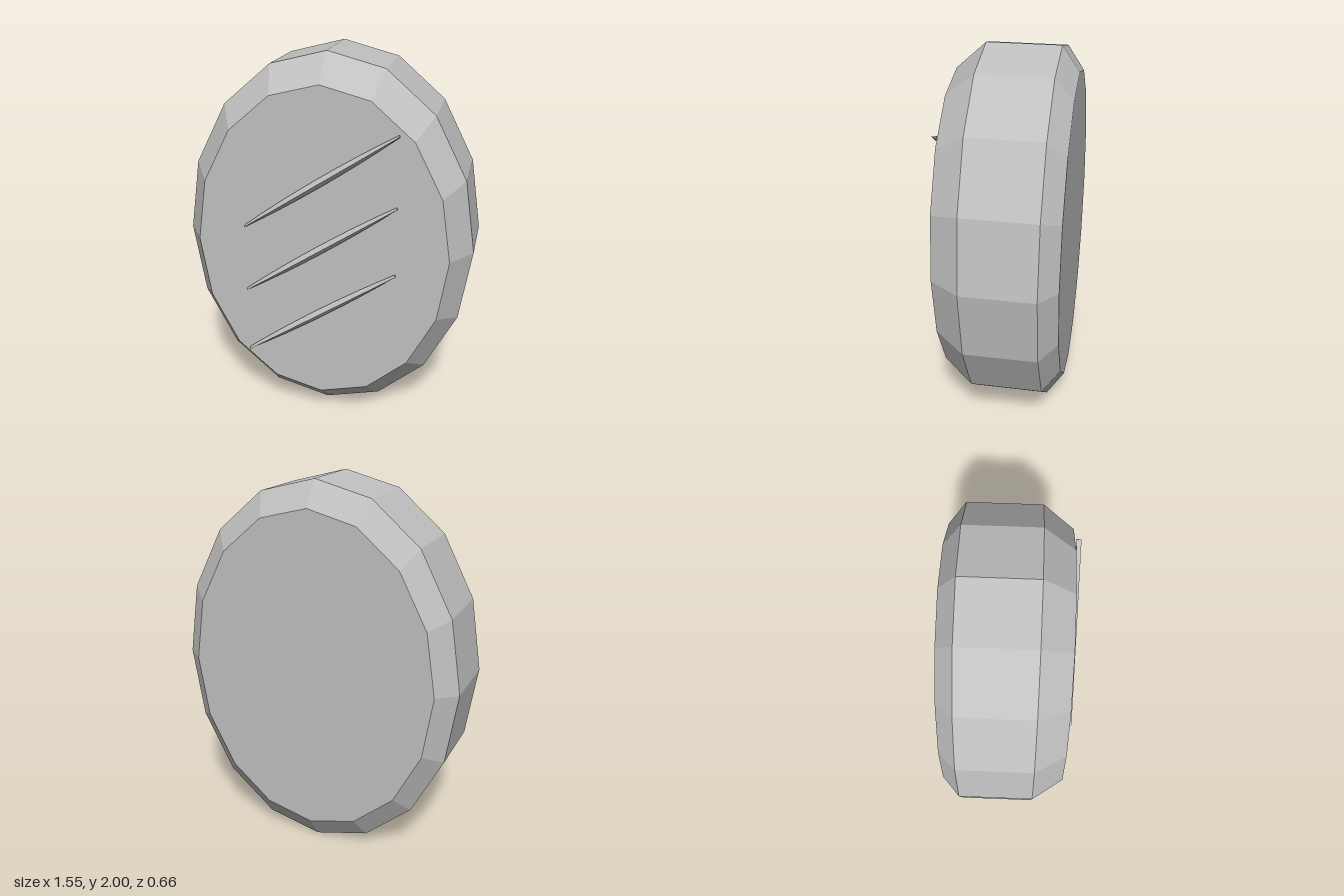
import * as THREE from 'three';

const grey = new THREE.MeshStandardMaterial({ color: 0xc0c0c0, flatShading: true });
grey.name = 'plain grey';

// Sixteen-sided oval drum with bevelled front and back rims
function makeBody() {
  const profile = [[0, -0.33], [0.87, -0.33], [1, -0.24], [1, 0.14], [0.862, 0.295], [0, 0.295]];
  const geometry = new THREE.LatheGeometry(profile.map(([r, z]) => new THREE.Vector2(r, z)), 16);
  geometry.rotateX(Math.PI / 2);
  geometry.scale(0.777, 1, 1);
  const body = new THREE.Mesh(geometry, grey);
  body.name = 'ovalBody';
  body.position.y = 1;
  return body;
}

// Roof-shaped rib: triangular section, widest in the middle, narrow blunt ends
function makeRibGeometry(halfLength) {
  const section = new THREE.Shape([
    new THREE.Vector2(-1, 0), new THREE.Vector2(1, 0), new THREE.Vector2(0, 0.024),
  ]);
  const geometry = new THREE.ExtrudeGeometry(section, { depth: 2, steps: 8, bevelEnabled: false });
  const p = geometry.attributes.position;
  for (let i = 0; i < p.count; i++) {
    const t = p.getZ(i) - 1;
    const halfWidth = 0.006 + 0.016 * (1 - t * t);
    p.setXYZ(i, t * halfLength, p.getX(i) * halfWidth, p.getY(i));
  }
  geometry.computeVertexNormals();
  return geometry;
}

export function createModel() {
  const model = new THREE.Group();
  model.name = 'ribbedOval';
  model.add(makeBody());

  // Three parallel slanted ribs just in front of the face
  const ribGeometry = makeRibGeometry(0.482);
  [0.637, 1.005, 1.372].forEach((y, i) => {
    const rib = new THREE.Mesh(ribGeometry, grey);
    rib.name = `slantedRib${i + 1}`;
    rib.position.set(0, y, 0.308);
    rib.rotation.z = Math.atan2(0.535, 0.8);
    model.add(rib);
  });
  return model;
}
